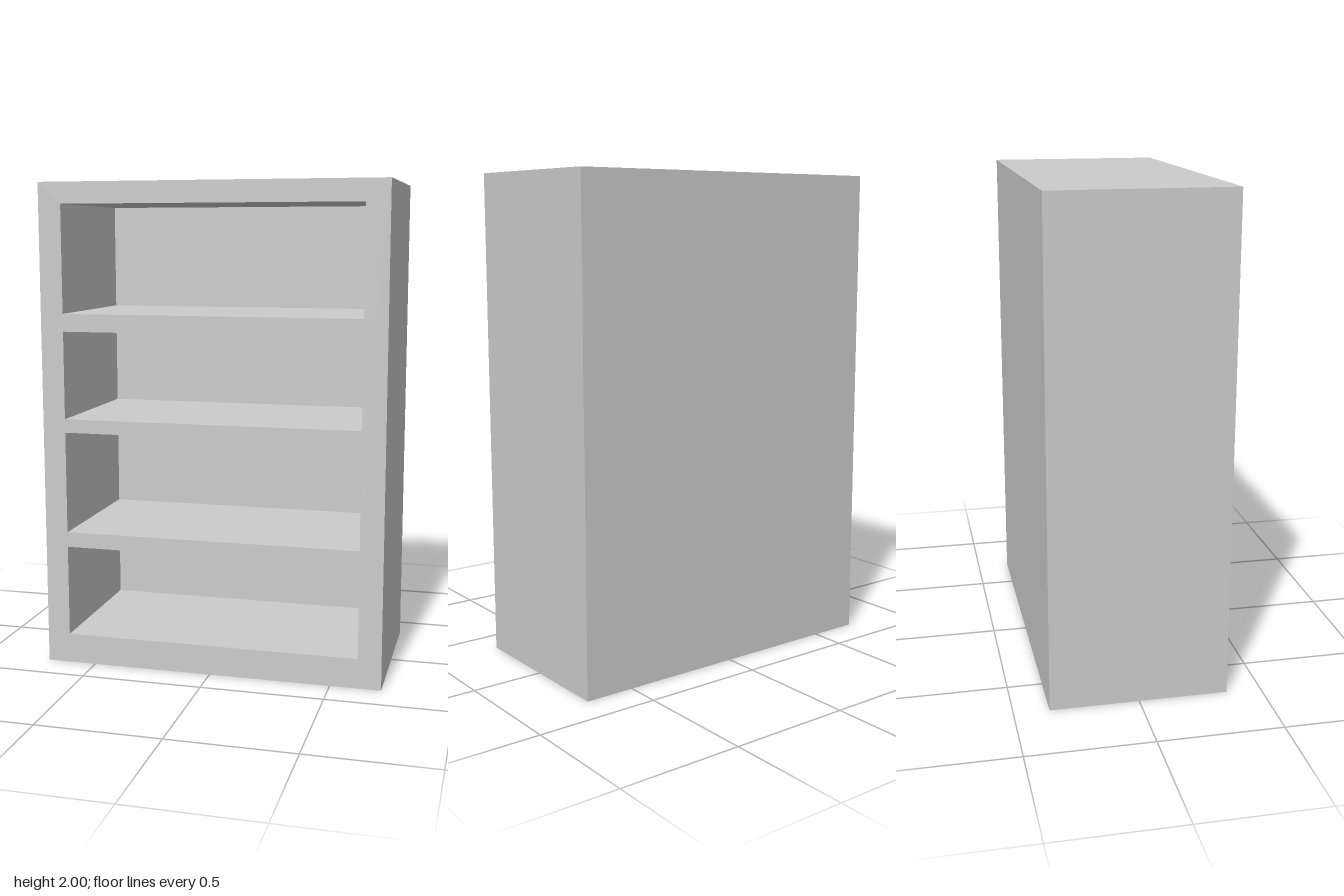
import * as THREE from 'three';

const W = 1.414, H = 2, D = 0.717;
const OPENING = 1.224, RECESS = 0.64;
// bottom and top height of each bay
const BAYS = [[0.123, 0.502], [0.565, 0.986], [1.042, 1.402], [1.474, 1.913]];

const material = new THREE.MeshStandardMaterial({ color: 0xcccccc });

// box without its front face; inward = true turns it inside out
function openBox(w, h, d, inward) {
  const geo = new THREE.BoxGeometry(w, h, d);
  const faces = Array.from(geo.index.array);
  faces.splice(inward ? 30 : 24, 6);
  geo.setIndex(faces);
  geo.clearGroups();
  if (inward) {
    // mirroring flips the winding so the walls face the inside
    geo.scale(1, 1, -1);
    geo.computeVertexNormals();
  }
  return geo;
}

function rectangle(target, x0, x1, y0, y1) {
  target.moveTo(x0, y0).lineTo(x1, y0).lineTo(x1, y1).lineTo(x0, y1).closePath();
  return target;
}

export function createModel() {
  const group = new THREE.Group();
  group.name = 'bookcase';

  const add = (name, geo, y, z) => {
    const mesh = new THREE.Mesh(geo, material);
    mesh.name = name;
    mesh.position.set(0, y, z);
    group.add(mesh);
  };

  // sides, top, bottom and back
  add('outerCase', openBox(W, H, D, false), H / 2, 0);

  // front face with an opening per bay
  const front = rectangle(new THREE.Shape(), -W / 2, W / 2, 0, H);
  for (const [y0, y1] of BAYS) {
    front.holes.push(rectangle(new THREE.Path(), -OPENING / 2, OPENING / 2, y0, y1));
  }
  add('frontFrame', new THREE.ShapeGeometry(front), 0, D / 2);

  // recessed bays: shelf, ceiling, side walls and back wall
  BAYS.forEach(([y0, y1], i) => {
    add(`shelfBay${i + 1}`, openBox(OPENING, y1 - y0, RECESS, true), (y0 + y1) / 2, (D - RECESS) / 2);
  });

  return group;
}
